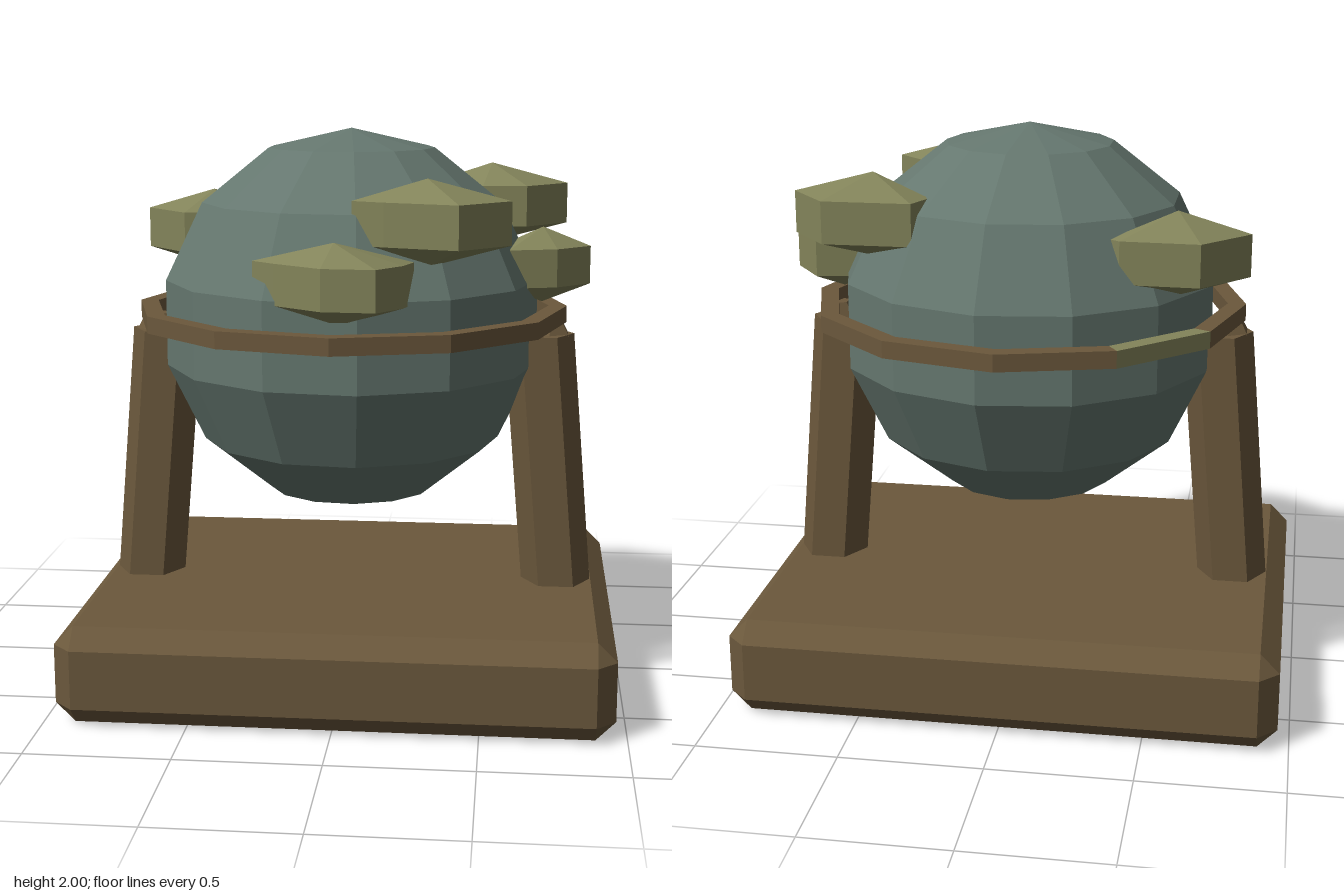
import * as THREE from 'three';
import { ConvexGeometry } from 'three/addons/geometries/ConvexGeometry.js';

const material = (name, color) => {
  const m = new THREE.MeshStandardMaterial({ color, flatShading: true });
  m.name = name;
  return m;
};
const V = (x, y, z) => new THREE.Vector3(x, y, z);

// Box with every edge chamfered, standing on y = 0
function chamferedBox(hx, h, hz, c) {
  const points = [];
  for (const sx of [-1, 1]) for (const sz of [-1, 1]) for (const top of [0, 1]) {
    const y = top ? h : 0, yIn = top ? h - c : c;
    points.push(
      V(sx * (hx - c), y, sz * (hz - c)),
      V(sx * hx, yIn, sz * (hz - c)),
      V(sx * (hx - c), yIn, sz * hz));
  }
  return new ConvexGeometry(points);
}

// Faceted slab with straight walls, and a low peak above and below
function landGeometry(outline, [px, pz], y, h) {
  const points = [V(px, y + h, pz), V(px, y - h, pz)];
  for (const [x, z] of outline) points.push(V(x, y + h / 2, z), V(x, y - h / 2, z));
  return new ConvexGeometry(points);
}

export function createModel() {
  const group = new THREE.Group();
  const wood = material('wood', 0x6b583c);
  const sea = material('sea', 0x65776f);
  const moss = material('land', 0x83845a);

  const add = (name, geometry, mat) => {
    const mesh = new THREE.Mesh(geometry, mat);
    mesh.name = name;
    group.add(mesh);
    return mesh;
  };

  add('base', chamferedBox(0.96, 0.345, 0.775, 0.068), wood);

  // Six-sided posts leaning in towards the ball, each with a small pivot
  for (const side of [-1, 1]) {
    const name = side > 0 ? 'left' : 'right';
    const post = new THREE.CylinderGeometry(0.127, 0.127, 0.94, 6);
    post.rotateY(Math.PI / 2);
    post.applyMatrix4(new THREE.Matrix4().set(
      1, -side * 0.086, 0, side * 0.723,
      0, 1, 0, 0.8,
      0, 0, 1, 0,
      0, 0, 0, 1));
    add(name + 'Post', post, wood);
    const pivot = new THREE.CylinderGeometry(0.045, 0.08, 0.06, 6);
    pivot.translate(side * 0.72, 1.295, 0);
    add(name + 'Pivot', pivot, wood);
  }

  // Ball
  const ball = new THREE.SphereGeometry(0.69, 13, 7);
  ball.rotateY(Math.PI);
  add('ball', ball, sea).position.y = 1.312;

  // Twelve-sided horizontal ring, with one mossy segment at the back
  const section = [[0.715, 1.31], [0.78, 1.31], [0.78, 1.37], [0.715, 1.37], [0.715, 1.31]]
    .map(([r, y]) => new THREE.Vector2(r, y));
  const step = Math.PI / 6;
  add('ring', new THREE.LatheGeometry(section, 11, 8 * step, 11 * step), wood);
  add('mossyRingSegment', new THREE.LatheGeometry(section, 1, 7 * step, step), moss);

  // Land masses: outline [x, z], peak [x, z], centre height, half thickness
  const lands = [
    ['frontLand', [[-0.28, 0.56], [-0.2, 0.63], [-0.03, 0.75], [0.15, 0.76], [0.23, 0.65], [0.26, 0.55], [0, 0.48]], [0, 0.62], 1.52, 0.14],
    ['frontLeftLand', [[0.05, 0.53], [0.16, 0.58], [0.41, 0.66], [0.58, 0.49], [0.43, 0.34], [0.36, 0.33], [0.2, 0.44]], [0.3, 0.5], 1.715, 0.147],
    ['leftLand', [[0.86, 0], [0.75, -0.16], [0.6, -0.13], [0.54, 0], [0.57, 0.17], [0.74, 0.12]], [0.69, 0], 1.52, 0.135],
    ['backLeftLand', [[0.33, -0.47], [0.64, -0.47], [0.78, -0.29], [0.63, -0.12], [0.47, -0.12], [0.29, -0.36]], [0.5, -0.29], 1.715, 0.147],
    ['backRightLand', [[-0.8, -0.28], [-0.64, -0.47], [-0.37, -0.46], [-0.33, -0.43], [-0.46, -0.1], [-0.63, -0.09]], [-0.55, -0.28], 1.61, 0.147],
  ];
  for (const [name, outline, peak, y, h] of lands) add(name, landGeometry(outline, peak, y, h), moss);

  return group;
}
